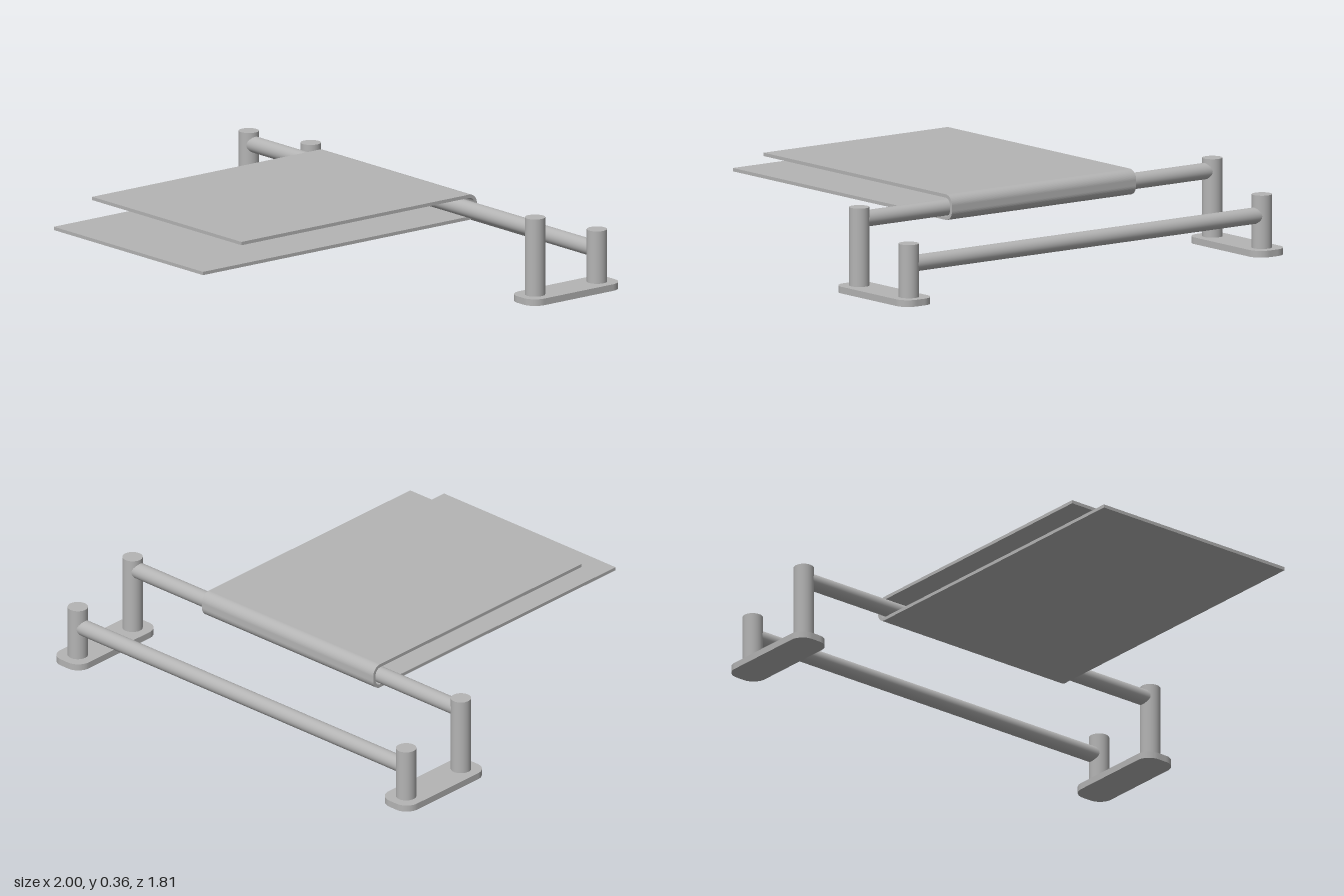
import * as THREE from 'three';

const HALF_PI = Math.PI / 2;

export function createModel() {
  const rack = new THREE.Group();
  rack.name = 'towelRack';
  const grey = new THREE.MeshStandardMaterial({ color: 0xb4b4b4 });
  grey.name = 'satin grey';

  const add = (parent, name, geometry, x = 0, y = 0, z = 0) => {
    const mesh = new THREE.Mesh(geometry, grey);
    mesh.name = name;
    mesh.position.set(x, y, z);
    parent.add(mesh);
    return mesh;
  };

  const zFront = -0.5, zRear = -0.83, postX = 0.92, plateTop = 0.028;

  // Rounded plate outline, extruded upwards
  const w = 0.08, d = 0.243, r = 0.06;
  const outline = new THREE.Shape();
  outline.moveTo(w, d - r);
  outline.absarc(w - r, d - r, r, 0, HALF_PI);
  outline.absarc(-w + r, d - r, r, HALF_PI, Math.PI);
  outline.absarc(-w + r, -d + r, r, Math.PI, 3 * HALF_PI);
  outline.absarc(w - r, -d + r, r, 3 * HALF_PI, 4 * HALF_PI);
  outline.closePath();
  const plate = new THREE.ExtrudeGeometry(outline, { depth: plateTop, bevelEnabled: false, curveSegments: 10 });
  plate.rotateX(-HALF_PI);

  // Mirrored brackets: plate with a tall front post and a short rear post
  for (const side of [1, -1]) {
    const bracket = new THREE.Group();
    bracket.name = side > 0 ? 'leftBracket' : 'rightBracket';
    rack.add(bracket);
    add(bracket, 'mountingPlate', plate, postX * side, 0, -0.666);
    for (const [name, top, z] of [['frontPost', 0.355, zFront], ['rearPost', 0.25, zRear]]) {
      const height = top - plateTop;
      add(bracket, name, new THREE.CylinderGeometry(0.042, 0.042, height, 40), postX * side, plateTop + height / 2, z);
    }
  }

  // Horizontal bars
  const bar = new THREE.CylinderGeometry(0.034, 0.034, 2 * postX, 40);
  bar.rotateZ(HALF_PI);
  add(rack, 'frontBar', bar, 0, 0.303, zFront);
  add(rack, 'rearBar', bar, 0, 0.164, zRear);

  // Towel section (u = z, v = y): two flat layers joined by a rounded fold
  const top = 0.36, bottom = 0.253, back = -0.555, t = 0.014, R = 0.042;
  const fold = new THREE.Shape();
  fold.moveTo(0.7, top);
  fold.lineTo(back + R, top);
  fold.absarc(back + R, top - R, R, HALF_PI, Math.PI);
  fold.absarc(back + R, bottom + R, R, Math.PI, 3 * HALF_PI);
  fold.lineTo(0.905, bottom);
  fold.lineTo(0.905, bottom + t);
  fold.lineTo(back + R, bottom + t);
  fold.absarc(back + R, bottom + R, R - t, 3 * HALF_PI, Math.PI, true);
  fold.absarc(back + R, top - R, R - t, Math.PI, HALF_PI, true);
  fold.lineTo(0.7, top - t);
  fold.closePath();
  const towel = new THREE.ExtrudeGeometry(fold, { depth: 0.96, bevelEnabled: false, curveSegments: 12 });
  towel.translate(0, 0, -0.48);
  towel.rotateY(-HALF_PI);
  add(rack, 'towel', towel);

  return rack;
}
